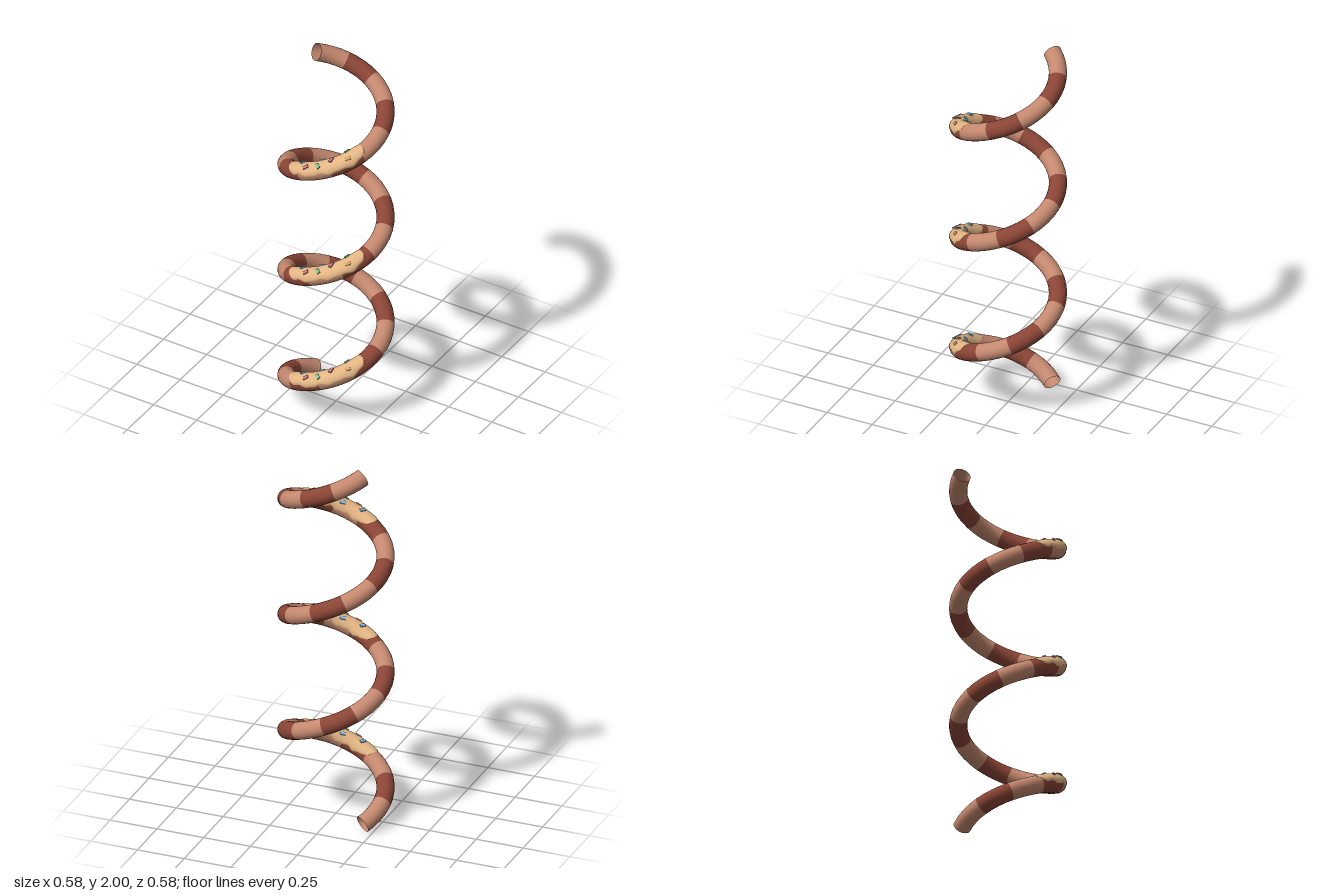
import * as THREE from 'three';

const R = 0.245, r = 0.045, TURNS = 3, Y0 = 0.042, Y1 = 1.958;
const DEG = Math.PI / 180, START = 215 * DEG, TOTAL = TURNS * 2 * Math.PI;
const RISE = (Y1 - Y0) / TOTAL;
const LEN = Math.hypot(R, RISE), C = R / LEN, S = RISE / LEN;

// Frame of the helix at turned angle a: centre, outward and upward directions
function frame(a) {
  const p = START - a, c = Math.cos(p), s = Math.sin(p);
  return {
    centre: new THREE.Vector3(R * c, Y0 + RISE * a, R * s),
    out: new THREE.Vector3(c, 0, s),
    up: new THREE.Vector3(-S * s, C, S * c),
  };
}

// Direction around the cross-section; 0 = outward, 90 degrees = up
const around = (f, t) => f.out.clone().multiplyScalar(Math.cos(t)).addScaledVector(f.up, Math.sin(t));

// Surface over the helix; rule(u, v) in 0..1 returns [a, theta, radius]
function sheet(nu, nv, rule, round) {
  const pos = [], nor = [], idx = [];
  for (let i = 0; i <= nu; i++) {
    for (let j = 0; j <= nv; j++) {
      const [a, t, rad] = rule(i / nu, j / nv);
      const f = frame(a), n = around(f, t);
      pos.push(...f.centre.addScaledVector(n, rad).toArray());
      nor.push(...n.toArray());
      if (i < nu && j < nv) {
        const k = i * (nv + 1) + j, m = k + nv + 1;
        idx.push(k, m, m + 1, k, m + 1, k + 1);
      }
    }
  }
  const g = new THREE.BufferGeometry();
  g.setAttribute('position', new THREE.Float32BufferAttribute(pos, 3));
  g.setAttribute('normal', new THREE.Float32BufferAttribute(nor, 3));
  g.setIndex(idx);
  if (!round) g.computeVertexNormals();
  return g;
}

export function createModel() {
  const mat = (name, color) => {
    const m = new THREE.MeshStandardMaterial({ color });
    m.name = name;
    return m;
  };
  const light = mat('lightBrown', 0xc4886f);
  const dark = mat('darkBrown', 0x8a4536);
  const icing = mat('caramelIcing', 0xe3b584);
  const blue = mat('blue', 0x7fb8e0), pink = mat('pink', 0xc97a85);
  const green = mat('green', 0x7cc490), orange = mat('orange', 0xd9a066);
  for (const m of [light, dark, icing]) m.side = THREE.DoubleSide;

  const group = new THREE.Group();
  group.name = 'spiral';
  const add = (parent, name, geo, m) => {
    const mesh = new THREE.Mesh(geo, m);
    mesh.name = name;
    parent.add(mesh);
    return mesh;
  };

  // Coiled tube in alternating bands, open at both ends
  const BANDS = 31, step = TOTAL / BANDS;
  const coil = new THREE.Group();
  coil.name = 'coil';
  group.add(coil);
  for (let b = 0; b < BANDS; b++) {
    add(coil, 'band', sheet(4, 20, (u, v) => [(b + u) * step, v * 2 * Math.PI, r], true), b % 2 ? dark : light);
  }

  // Sprinkles: top-view x, z, heading in degrees, colour
  const sprinkles = [
    [-0.045, 0.235, 50, blue], [0.052, 0.21, 18, blue],
    [0.11, 0.225, 80, pink], [-0.01, 0.272, 38, pink],
    [0.055, 0.265, -42, green], [0.16, 0.153, 62, green],
    [0.188, 0.198, 48, orange],
  ];
  const chip = new THREE.BoxGeometry(0.028, 0.008, 0.017);
  const mid = 145.5 * DEG, half = 46 * DEG;

  for (let k = 0; k < TURNS; k++) {
    const topping = new THREE.Group();
    topping.name = 'topping';
    group.add(topping);
    const base = k * 2 * Math.PI;

    // Icing patch with rounded ends and a wavy lower edge
    add(topping, 'icing', sheet(48, 20, (p, q) => {
      const u = Math.sin((p - 0.5) * Math.PI), v = 2 * q - 1;
      const taper = Math.sqrt(Math.max(0, 1 - Math.abs(u) ** 5));
      const wave = 8 * Math.sin(u * 13 + (v < 0 ? 0 : 2)) + 4 * Math.sin(u * 23);
      const width = (97 + wave) * DEG * taper;
      const thick = 0.006 * Math.sqrt(Math.max(0, (1 - v ** 8) * (1 - u ** 8)));
      return [base + mid + u * half, Math.PI / 2 + v * width, r - 0.0015 + thick];
    }), icing);

    // Sprinkles lying on the icing
    for (const [x, z, heading, m] of sprinkles) {
      const rad = r + 0.005;
      const t = Math.acos(THREE.MathUtils.clamp((Math.hypot(x, z) - R) / rad, -1, 1));
      const phi = Math.atan2(z, x) - rad * Math.sin(t) * S / R;
      const f = frame(base + START - phi), n = around(f, t);
      const along = new THREE.Vector3(Math.cos(heading * DEG), 0, -Math.sin(heading * DEG));
      along.addScaledVector(n, -along.dot(n)).normalize();
      const mesh = add(topping, 'sprinkle', chip, m);
      mesh.position.copy(f.centre).addScaledVector(n, rad);
      mesh.quaternion.setFromRotationMatrix(
        new THREE.Matrix4().makeBasis(along, n, along.clone().cross(n)));
    }
  }
  return group;
}
